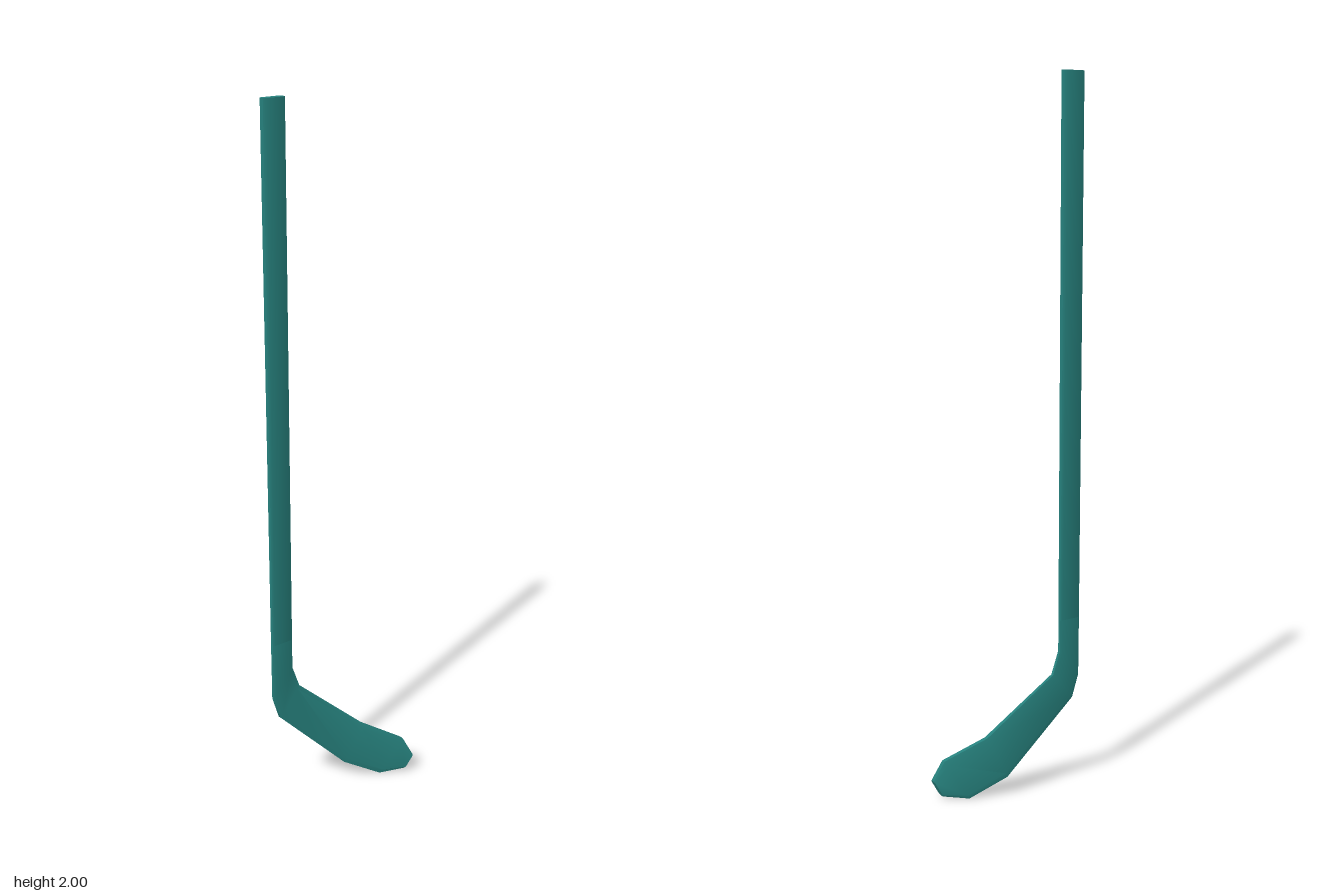
import * as THREE from 'three';
import { toCreasedNormals } from 'three/addons/utils/BufferGeometryUtils.js';

const material = new THREE.MeshStandardMaterial({ color: 0x26807c });

// Flat eight-sided cross-section between edge points a and b, with half thickness h along z
function ring([ax, ay, az, bx, by, bz, h]) {
  const a = new THREE.Vector3(ax, ay, az);
  const b = new THREE.Vector3(bx, by, bz);
  const corners = [[0, -0.6], [0, 0.6], [0.1, 1], [0.9, 1], [1, 0.6], [1, -0.6], [0.9, -1], [0.1, -1]];
  return corners.map(([t, s]) => {
    const p = a.clone().lerp(b, t);
    p.z += s * h;
    return p;
  });
}

// Skin consecutive sections, with optional flat caps
function loft(name, sections, capStart, capEnd) {
  const rings = sections.map(ring);
  const pos = [];
  const tri = (...pts) => pts.forEach((p) => pos.push(p.x, p.y, p.z));
  for (let i = 0; i < rings.length - 1; i++) {
    for (let j = 0; j < 8; j++) {
      const k = (j + 1) % 8;
      tri(rings[i][j], rings[i][k], rings[i + 1][k]);
      tri(rings[i][j], rings[i + 1][k], rings[i + 1][j]);
    }
  }
  const first = rings[0], last = rings[rings.length - 1];
  for (let j = 1; j < 7; j++) {
    if (capStart) tri(first[0], first[j + 1], first[j]);
    if (capEnd) tri(last[0], last[j], last[j + 1]);
  }
  const geometry = new THREE.BufferGeometry();
  geometry.setAttribute('position', new THREE.Float32BufferAttribute(pos, 3));
  const mesh = new THREE.Mesh(toCreasedNormals(geometry, 0.6), material);
  mesh.name = name;
  return mesh;
}

export function createModel() {
  const group = new THREE.Group();
  group.name = 'hockeyStick';

  // Straight shaft, slightly thinner towards the blade
  const seam = [-0.138, 0.5, -0.069, -0.205, 0.5, -0.069, 0.007];
  const shaft = loft('shaft', [
    [-0.138, 2, -0.069, -0.205, 2, -0.069, 0.011],
    seam,
  ], true, false);

  // Heel bend and curved blade: upper edge point, lower edge point, half thickness
  const blade = loft('blade', [
    seam,
    [-0.138, 0.41, -0.069, -0.205, 0.33, -0.068, 0.007],
    [-0.115, 0.345, -0.068, -0.185, 0.265, -0.066, 0.007],
    [0.07, 0.18, -0.006, 0.015, 0.06, -0.026, 0.01],
    [0.175, 0.118, 0.052, 0.115, 0.005, 0.018, 0.01],
    [0.202, 0.06, 0.067, 0.18, 0.015, 0.055, 0.01],
  ], false, true);

  group.add(shaft, blade);
  return group;
}
